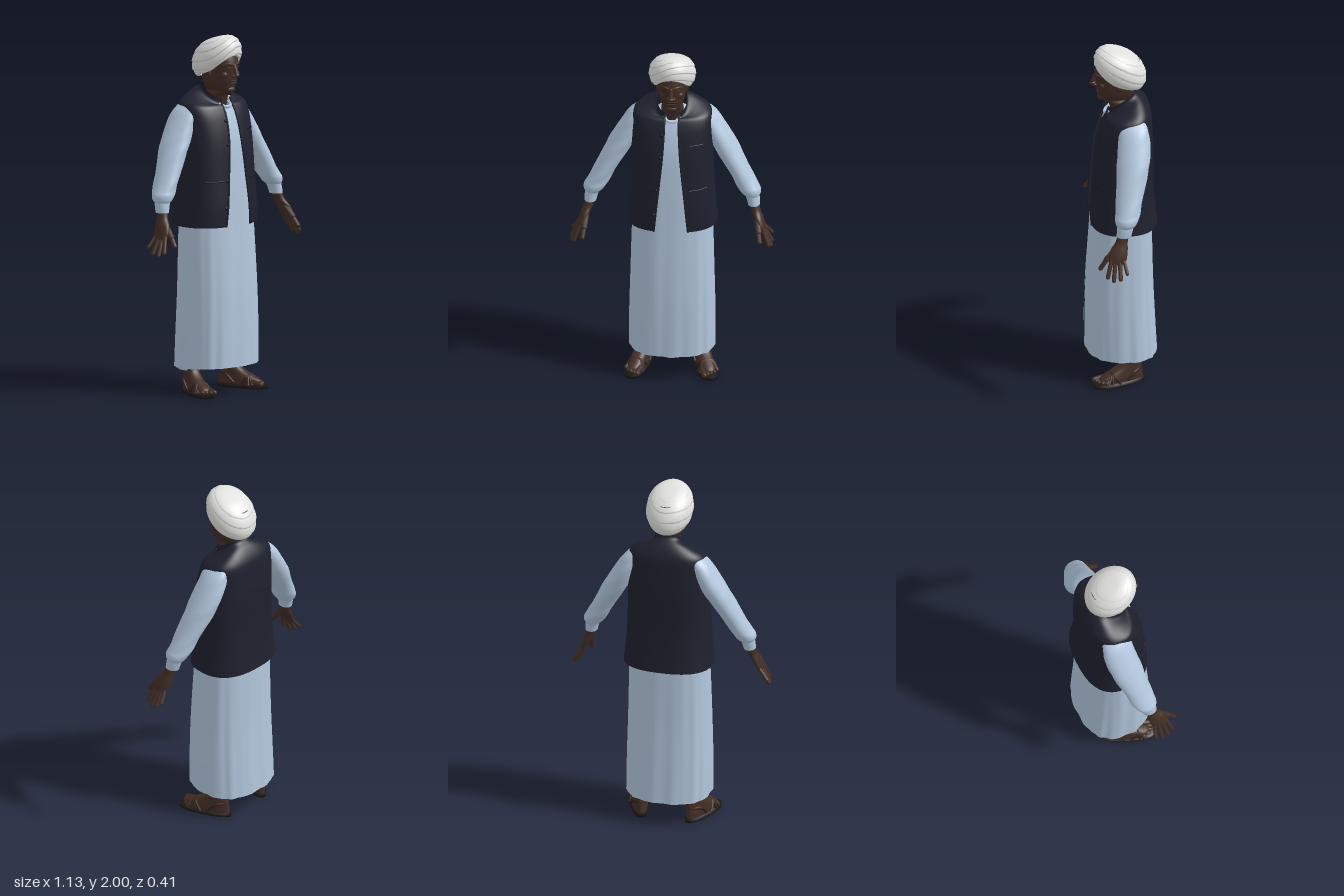
import * as THREE from 'three';

const mat = (name, color, side = THREE.FrontSide) =>
  Object.assign(new THREE.MeshStandardMaterial({ color, side }), { name });
const V = (x, y, z) => new THREE.Vector3(x, y, z);

// Smooth interpolation between the rows of a section table (missing tilt and width count as 0)
function refine(table, sub) {
  const rows = table.map(([y, cx, cz, rx, rz, tilt = 0, w = 0]) => [y, cx, cz, rx, rz, tilt, w]);
  const out = [], at = i => rows[Math.max(0, Math.min(rows.length - 1, i))];
  for (let i = 0; i < rows.length - 1; i++) {
    for (let k = 0; k < sub; k++) {
      const t = k / sub, [a, b, c, d] = [at(i - 1), at(i), at(i + 1), at(i + 2)];
      out.push(b.map((q, m) => q + 0.5 * t * (c[m] - a[m] + t * (2 * a[m] - 5 * q + 4 * c[m] - d[m]
        + t * (3 * (q - c[m]) + d[m] - a[m])))));
    }
  }
  out.push(at(rows.length - 1));
  return out;
}

// Grid of points fn(row, column) turned into a smooth surface
function grid(nr, nc, wrap, fn, cap = false) {
  const pos = [], idx = [], cols = wrap ? nc : nc + 1;
  for (let i = 0; i < nr; i++) for (let j = 0; j < cols; j++) pos.push(...fn(i, j));
  const id = (i, j) => i * cols + (wrap ? j % nc : j);
  for (let i = 0; i < nr - 1; i++) for (let j = 0; j < nc; j++) {
    idx.push(id(i, j), id(i + 1, j), id(i, j + 1), id(i + 1, j), id(i + 1, j + 1), id(i, j + 1));
  }
  if (cap) for (const r of [0, nr - 1]) {
    const c = [0, 0, 0], m = pos.length / 3;
    for (let j = 0; j < cols; j++) for (let k = 0; k < 3; k++) c[k] += pos[id(r, j) * 3 + k] / cols;
    pos.push(...c);
    for (let j = 0; j < nc; j++) idx.push(m, ...(r ? [id(r, j + 1), id(r, j)] : [id(r, j), id(r, j + 1)]));
  }
  const g = new THREE.BufferGeometry();
  g.setAttribute('position', new THREE.Float32BufferAttribute(pos, 3));
  g.setIndex(idx);
  g.computeVertexNormals();
  return g;
}

// Stack of rounded sections: [y, cx, cz, rx, rz, tilt, half width of the front gap or strip]
function loft(rows, { n = 2, s = 1, seg = 48, sub = 5, cap = false, front = '', ripple = () => 0, egg = 0 } = {}) {
  const R = refine(rows, sub), p = (q, e) => Math.sign(q) * Math.abs(q) ** e;
  return grid(R.length, seg, !front, (i, j) => {
    const [y, cx, cz, rx, rz, tilt, w] = R[i];
    const d = Math.PI / 2 - Math.acos((w / rx) ** (n / 2));
    let a = 2 * Math.PI * j / seg;
    if (front === 'gap') a = Math.PI / 2 + d + (2 * Math.PI - 2 * d) * j / seg;
    if (front === 'strip') a = Math.PI / 2 - d + 2 * d * j / seg;
    const k = 1 + ripple(a, y), sn = p(Math.sin(a), 2 / n);
    const z = rz * k * sn;
    return [s * cx + rx * k * p(Math.cos(a), 2 / n) * (1 + egg * sn), y - tilt * z, cz + z];
  }, cap);
}

export function createModel() {
  const root = new THREE.Group();
  root.name = 'robedMan';
  const skin = mat('darkSkin', 0x422e25), eye = mat('eyeAndLipBrown', 0x2a1b16);
  const white = mat('turbanWhite', 0xe0e0de, THREE.DoubleSide);
  const navy = mat('vestNavy', 0x1e202d, THREE.DoubleSide), seam = mat('vestSeam', 0x14151f);
  const blue = mat('robeBlue', 0xb2c6dc, THREE.DoubleSide);
  const sole = mat('soleBlack', 0x1b1616), leather = mat('sandalLeather', 0x33221b);

  const add = (name, geo, m, parent = root) => {
    const mesh = new THREE.Mesh(geo, m);
    mesh.name = name;
    parent.add(mesh);
    return mesh;
  };
  const tube = (name, pts, r, m, parent) =>
    add(name, new THREE.TubeGeometry(new THREE.CatmullRomCurve3(pts), 16, r, 8), m, parent);
  const capsule = (name, a, b, r, m, parent) => {
    const d = b.clone().sub(a), c = add(name, new THREE.CapsuleGeometry(r, d.length(), 5, 10), m, parent);
    c.position.copy(a).addScaledVector(d, 0.5);
    c.quaternion.setFromUnitVectors(V(0, 1, 0), d.normalize());
  };
  const ball = (name, p, size, m) => {
    const b = add(name, new THREE.SphereGeometry(1, 16, 12), m);
    b.position.set(...p);
    b.scale.set(...size);
  };

  // Long robe with soft pleats fading towards the chest
  const robe = [[0.15, 0, 0.005, 0.236, 0.198, -0.05], [0.35, 0, 0.01, 0.236, 0.192, -0.02],
    [0.6, 0, 0.012, 0.231, 0.183], [0.95, 0, 0.004, 0.222, 0.168], [1.2, 0, 0, 0.205, 0.157],
    [1.4, 0, -0.008, 0.195, 0.148], [1.52, 0, -0.02, 0.185, 0.132], [1.59, 0, -0.015, 0.14, 0.1],
    [1.625, 0, 0.005, 0.065, 0.072, 0.3]];
  const pleat = (a, y) => (0.013 * Math.sin(13 * a + 2 * y) + 0.008 * Math.sin(21 * a + 1))
    * Math.max(0, 1 - y / 1.5);
  add('robe', loft(robe, { n: 2.4, seg: 120, ripple: pleat }), blue);
  const strip = robe.slice(0, 8).map(([y, cx, cz, rx, rz, t = 0]) => [y, cx, cz, rx + 0.005, rz + 0.005, t, 0.022]);
  add('frontPlacket', loft(strip, { n: 2.4, seg: 8, front: 'strip', ripple: pleat }), blue);
  tube('neckband', [V(-0.045, 1.625, 0.06), V(-0.025, 1.605, 0.088), V(0, 1.6, 0.093), V(0.025, 1.605, 0.088),
    V(0.045, 1.625, 0.06)], 0.009, blue);

  // Open sleeveless vest with a stand collar, low in front and high behind
  const vest = [[0.945, 0, -0.008, 0.25, 0.188, 0, 0.095], [1.05, 0, 0, 0.24, 0.183, 0, 0.085],
    [1.2, 0, 0, 0.231, 0.172, 0, 0.07], [1.4, 0, -0.01, 0.226, 0.165, 0, 0.05],
    [1.53, 0, -0.02, 0.225, 0.148, 0, 0.042], [1.6, 0, -0.03, 0.219, 0.132, 0.03, 0.04],
    [1.632, 0, -0.03, 0.195, 0.117, 0.15, 0.04], [1.655, 0, -0.018, 0.14, 0.098, 0.4, 0.038],
    [1.668, 0, -0.002, 0.086, 0.082, 0.65, 0.036], [1.695, 0, 0.002, 0.08, 0.076, 0.65, 0.036]];
  add('vest', loft(vest, { n: 2.5, seg: 96, front: 'gap' }), navy);
  const vestZ = (x, [, , cz, rx, rz]) => cz + rz * (1 - Math.abs(x / rx) ** 2.5) ** 0.4;
  for (const s of [1, -1]) {
    tube('vestFrontEdge', vest.map(r => V(s * r[6], r[0] - r[5] * (vestZ(r[6], r) - r[2]), vestZ(r[6], r))),
      0.006, navy);
    tube('pocketWelt', [0.1, 0.15, 0.195].map(x => V(s * x, 1.2, vestZ(x, vest[2]))), 0.004, seam);
  }
  tube('chestPocketWelt', [0.1, 0.14, 0.175].map(x => V(x, 1.47, vestZ(x, [0, 0, -0.015, 0.226, 0.158]))),
    0.004, seam);
  for (const i of [1, 2, 3, 4]) {
    const r = vest[i], x = -r[6] - 0.012;
    ball('vestButton', [x, r[0], vestZ(x, r)], [0.009, 0.009, 0.006], seam);
  }

  // Head and neck
  add('head', loft([[1.56, 0, -0.01, 0.06, 0.06], [1.66, 0, 0.008, 0.06, 0.064], [1.69, 0, 0.032, 0.048, 0.09],
    [1.71, 0, 0.031, 0.061, 0.098], [1.75, 0, 0.03, 0.073, 0.108], [1.8, 0, 0.03, 0.078, 0.114],
    [1.85, 0, 0.028, 0.08, 0.118], [1.92, 0, 0.01, 0.08, 0.11]], { n: 2.2, cap: true }), skin);
  capsule('noseBridge', V(0, 1.835, 0.143), V(0, 1.787, 0.162), 0.011, skin);
  ball('noseTip', [0, 1.783, 0.16], [0.016, 0.013, 0.018], skin);
  ball('chin', [0, 1.7, 0.113], [0.032, 0.02, 0.022], skin);
  capsule('upperLip', V(-0.02, 1.749, 0.137), V(0.02, 1.749, 0.137), 0.006, eye);
  capsule('lowerLip', V(-0.017, 1.738, 0.135), V(0.017, 1.738, 0.135), 0.007, skin);
  for (const s of [1, -1]) {
    ball('nostril', [s * 0.015, 1.778, 0.148], [0.01, 0.009, 0.012], skin);
    ball('eye', [s * 0.032, 1.823, 0.134], [0.014, 0.006, 0.006], eye);
    tube('brow', [V(s * 0.01, 1.841, 0.144), V(s * 0.035, 1.846, 0.137), V(s * 0.058, 1.838, 0.112)], 0.008, skin);
    ball('cheek', [s * 0.042, 1.785, 0.11], [0.024, 0.022, 0.02], skin);
    ball('ear', [s * 0.08, 1.785, 0.02], [0.011, 0.03, 0.02], skin);
  }

  // Turban of overlapping wraps, raised in a peak above the face
  const rowsT = 70;
  add('turban', grid(rowsT, 72, true, (i, j) => {
    const a = 2 * Math.PI * j / 72, t = Math.min(1, (rowsT - 1 - i) / (rowsT - 4));
    const phi = t * (2.35 - 0.55 * Math.max(0, Math.sin(a)) ** 2.5);
    const f = 5 * t + 0.55 * Math.cos(a) + 0.25 * Math.sin(2 * a) + 1;
    const lip = i < 3 ? 0.82 + 0.06 * i : 1;
    const r = Math.sin(phi) ** 0.7 * (0.965 + 0.05 * (f - Math.floor(f)) ** 0.6) * lip;
    const z = 0.145 * r * Math.sin(a);
    return [0.13 * r * Math.cos(a), 1.87 + 0.112 * Math.cos(phi) + 0.35 * z, 0.008 + z];
  }), white);

  for (const s of [1, -1]) {
    const side = s > 0 ? 'left' : 'right';

    // Loose sleeve gathered at the cuff
    add(side + 'Sleeve', loft([[1.11, 0.441, 0.015, 0.04, 0.048], [1.125, 0.436, 0.012, 0.054, 0.058],
      [1.15, 0.426, 0.008, 0.062, 0.066], [1.18, 0.408, 0, 0.062, 0.07], [1.25, 0.371, -0.012, 0.062, 0.075],
      [1.4, 0.288, -0.04, 0.071, 0.09], [1.5, 0.235, -0.05, 0.066, 0.09], [1.58, 0.194, -0.052, 0.054, 0.08],
      [1.62, 0.17, -0.05, 0.035, 0.06]], {
      s, cap: true,
      ripple: (a, y) => 0.035 * Math.sin(3 * a + 38 * y) * Math.sin(17 * y) ** 2
    }), blue);
    add(side + 'Cuff', loft([[1.055, 0.452, 0.026, 0.033, 0.041], [1.09, 0.447, 0.02, 0.037, 0.044],
      [1.13, 0.436, 0.012, 0.042, 0.05]], { s, cap: true }), blue);

    // Hand with spread fingers
    const hand = new THREE.Group();
    hand.name = side + 'Hand';
    root.add(hand);
    add('palm', loft([[0.915, 0.509, 0.066, 0.015, 0.044], [0.95, 0.496, 0.063, 0.021, 0.051],
      [0.99, 0.479, 0.054, 0.025, 0.047], [1.025, 0.464, 0.04, 0.026, 0.034], [1.07, 0.452, 0.028, 0.026, 0.032]],
    { s, cap: true, seg: 24 }), skin, hand);
    [[0.1, 0.537, 0.848, 0.122], [0.077, 0.549, 0.832, 0.09], [0.053, 0.553, 0.84, 0.052],
      [0.03, 0.552, 0.872, 0.016]].forEach(([z, x, y, tz], i) =>
      capsule('finger', V(s * 0.506, 0.93, z), V(s * x, y, tz), i === 3 ? 0.01 : 0.012, skin, hand));
    capsule('thumbBase', V(s * 0.472, 0.99, 0.07), V(s * 0.482, 0.93, 0.125), 0.017, skin, hand);
    capsule('thumb', V(s * 0.482, 0.93, 0.125), V(s * 0.49, 0.883, 0.158), 0.013, skin, hand);

    // Trouser leg under the robe
    add(side + 'Trouser', loft([[0.135, 0.145, -0.055, 0.056, 0.06], [0.17, 0.145, -0.055, 0.064, 0.07],
      [0.5, 0.12, -0.02, 0.085, 0.095], [0.9, 0.1, 0, 0.09, 0.11]],
    { s, cap: true, seg: 28 }), blue);

    // Foot in a strapped sandal, turned outwards
    const foot = new THREE.Group();
    foot.name = side + 'Foot';
    foot.position.set(s * 0.18, 0, 0.03);
    foot.rotation.y = s * 0.33;
    root.add(foot);
    add('sole', loft([[0, 0, 0, 0.05, 0.152], [0.022, 0, 0, 0.051, 0.153]],
      { n: 2.5, egg: 0.18, cap: true, sub: 1 }), sole, foot);
    add('foot', loft([[0.018, 0, -0.012, 0.044, 0.132], [0.045, 0, -0.014, 0.046, 0.128],
      [0.07, 0, -0.034, 0.043, 0.105], [0.1, 0, -0.06, 0.04, 0.074], [0.14, 0, -0.074, 0.037, 0.05],
      [0.2, 0, -0.074, 0.036, 0.046]], { n: 2.3, egg: 0.12, cap: true }), skin, foot);
    for (let i = 0; i < 5; i++) {
      const x = s * (-0.036 + i * 0.019), r = i ? 0.0105 : 0.015;
      capsule('toe', V(x, 0.038, 0.08), V(x * 1.1, 0.03, 0.132 - i * i * 0.0025), r, skin, foot);
    }
    const strap = (...p) => tube('strap', p, 0.008, leather, foot);
    strap(V(-0.054, 0.02, 0.06), V(-0.034, 0.062, 0.052), V(0, 0.069, 0.05), V(0.034, 0.062, 0.052), V(0.054, 0.02, 0.06));
    strap(V(-0.052, 0.02, 0.01), V(-0.034, 0.066, 0.045), V(0.02, 0.07, 0.05), V(0.054, 0.02, 0.085));
    strap(V(0.052, 0.02, 0.01), V(0.034, 0.066, 0.045), V(-0.02, 0.07, 0.05), V(-0.054, 0.02, 0.085));
    strap(V(-0.046, 0.03, -0.03), V(-0.044, 0.075, -0.08), V(0, 0.08, -0.132), V(0.044, 0.075, -0.08), V(0.046, 0.03, -0.03));
  }
  return root;
}
